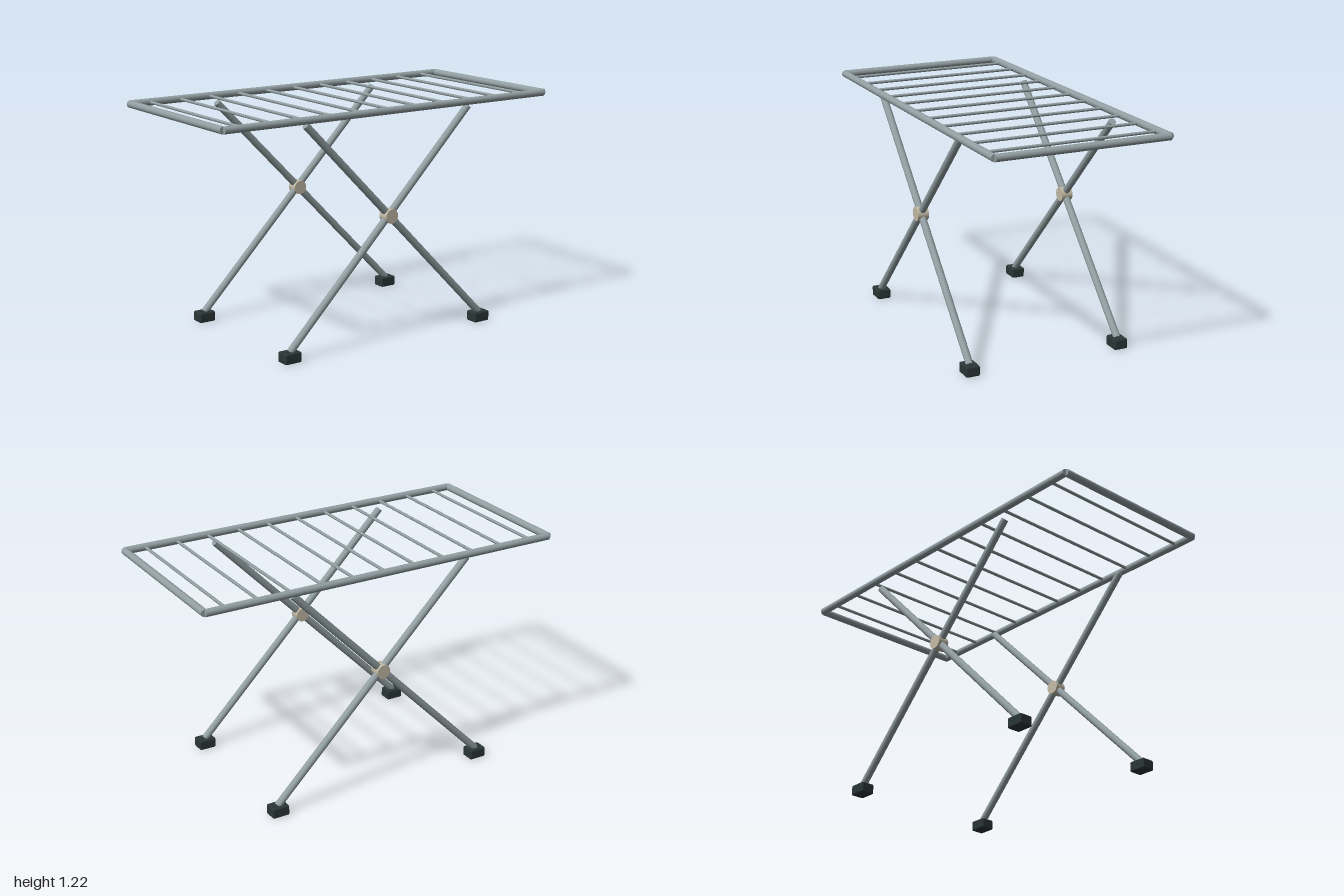
import * as THREE from 'three';
import { RoundedBoxGeometry } from 'three/addons/geometries/RoundedBoxGeometry.js';

const mat = (name, color) => new THREE.MeshStandardMaterial({ name, color });

export function createModel() {
  const model = new THREE.Group();
  model.name = 'dryingRack';
  const steel = mat('steel', 0x929fa2);
  const rubber = mat('darkRubber', 0x2b3535);
  const cream = mat('creamPlastic', 0xc4bca6);

  // Straight tube between two points
  const tube = (name, a, b, radius, material = steel, sides = 16) => {
    const from = new THREE.Vector3(...a);
    const dir = new THREE.Vector3(...b).sub(from);
    const mesh = new THREE.Mesh(new THREE.CylinderGeometry(radius, radius, dir.length(), sides), material);
    mesh.name = name;
    mesh.position.copy(from).addScaledVector(dir, 0.5);
    mesh.quaternion.setFromUnitVectors(new THREE.Vector3(0, 1, 0), dir.normalize());
    model.add(mesh);
  };

  // Top frame and hanging bars
  const topY = 1.2, railX = 0.981, railZ = 0.457, railR = 0.019;
  for (const s of [-1, 1]) {
    tube('longRail', [-railX, topY, s * railZ], [railX, topY, s * railZ], railR);
    tube('endRail', [s * railX, topY, -railZ], [s * railX, topY, railZ], railR);
  }
  for (let i = -5; i <= 5; i++) {
    const x = i * 0.174;
    tube('hangingBar', [x, topY, -railZ], [x, topY, railZ], 0.008, steel, 10);
  }

  // Crossed legs with feet, one pair on each side
  const legZ = 0.415;
  for (const z of [-legZ, legZ]) {
    for (const s of [-1, 1]) {
      tube('leg', [s * 0.6, 0.05, z], [-s * 0.5, 1.168, z], 0.019);
      const foot = new THREE.Mesh(new RoundedBoxGeometry(0.094, 0.054, 0.074, 2, 0.008), rubber);
      foot.name = 'foot';
      foot.position.set(s * 0.6, 0.027, z);
      model.add(foot);
    }
    // Pivot hub where the legs cross
    tube('pivot', [0, 0.657, z - 0.03], [0, 0.657, z + 0.03], 0.037, cream, 20);
  }
  return model;
}
